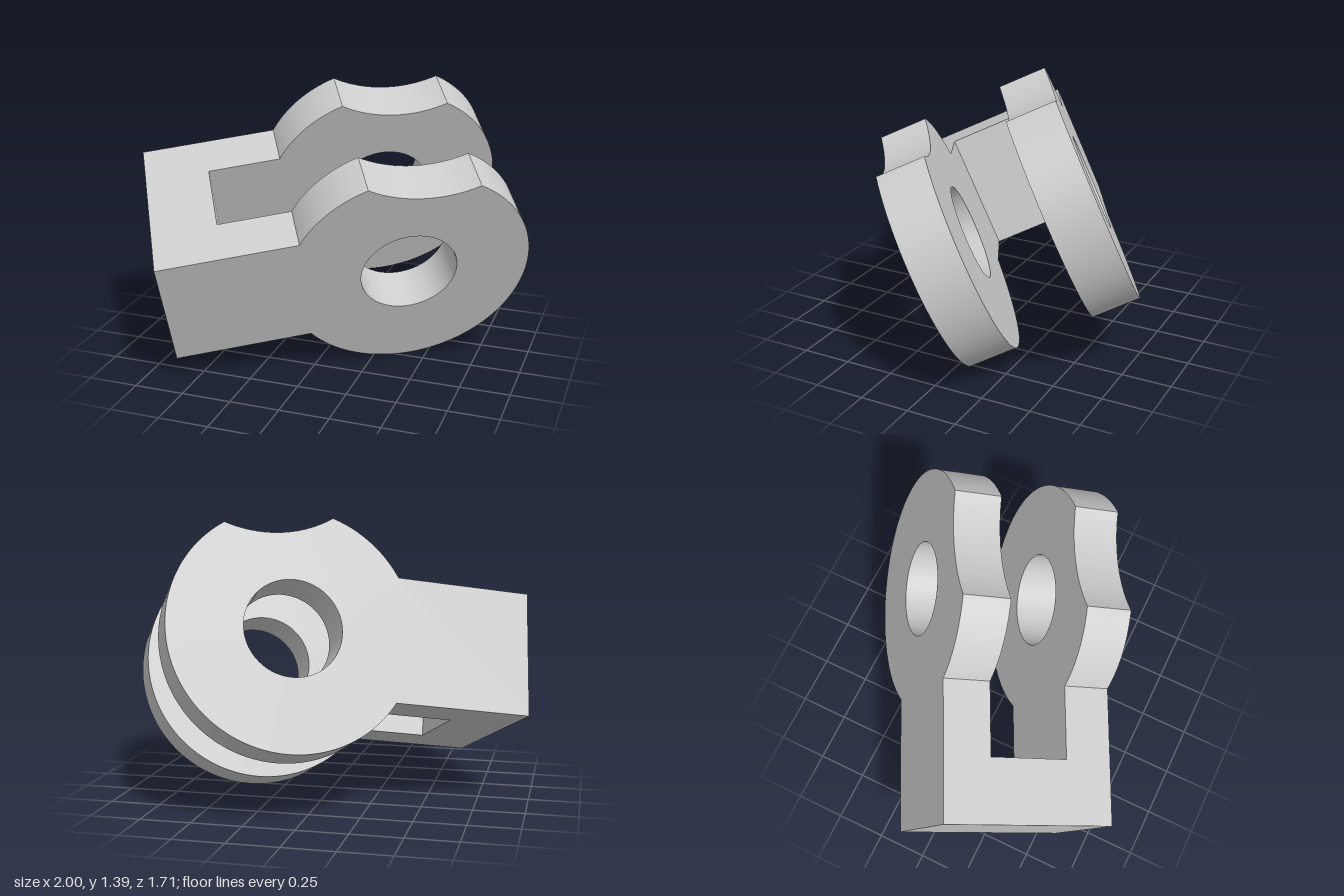
import * as THREE from 'three';
import { toCreasedNormals } from 'three/addons/utils/BufferGeometryUtils.js';

const RADIUS = 0.597;     // eye outer radius
const BORE = 0.237;       // pin hole radius
const HALF_HEIGHT = 0.311;
const BACK = -1.185;      // end of the shank, measured from the eye centre
const SLOT_END = -0.869;
const THICK = 0.237;      // thickness of each fork arm
const GAP = 0.394;        // slot width

// Side outline of one arm: shank, round eye, scooped notch on top, pin hole
function armShape() {
  const join = Math.PI - Math.asin(HALF_HEIGHT / RADIUS);
  const mid = 1.398, half = 0.463;
  const scoop = 2 * RADIUS * Math.cos(half);
  const shape = new THREE.Shape();
  shape.moveTo(BACK, HALF_HEIGHT);
  shape.lineTo(BACK, -HALF_HEIGHT);
  shape.absarc(0, 0, RADIUS, -join, mid - half, false);
  shape.absarc(scoop * Math.cos(mid), scoop * Math.sin(mid), RADIUS,
    mid + Math.PI + half, mid + Math.PI - half, true);
  shape.absarc(0, 0, RADIUS, mid + half, join, false);
  shape.closePath();
  const hole = new THREE.Path();
  hole.absarc(0, 0, BORE, 0, Math.PI * 2, true);
  shape.holes.push(hole);
  return shape;
}

export function createModel() {
  const group = new THREE.Group();
  group.name = 'clevis';
  const metal = new THREE.MeshStandardMaterial({ color: 0xcccccc });
  metal.name = 'grey metal';

  // Two matching arms
  const armGeometry = toCreasedNormals(
    new THREE.ExtrudeGeometry(armShape(), { depth: THICK, bevelEnabled: false, curveSegments: 48 }), 0.4);
  for (const [name, z] of [['leftArm', GAP / 2], ['rightArm', -GAP / 2 - THICK]]) {
    const arm = new THREE.Mesh(armGeometry, metal);
    arm.name = name;
    arm.position.z = z;
    group.add(arm);
  }

  // Solid bridge joining the arms at the back of the slot
  const bridge = new THREE.Mesh(
    new THREE.BoxGeometry(SLOT_END - BACK, HALF_HEIGHT * 2, GAP), metal);
  bridge.name = 'bridge';
  bridge.position.x = (SLOT_END + BACK) / 2;
  group.add(bridge);

  // Tilt of the whole fork
  const across = new THREE.Vector3(0.461, -0.392, 0.796).normalize();
  const up = across.clone().cross(new THREE.Vector3(0.884, 0.14, -0.443)).normalize();
  const along = up.clone().cross(across);
  group.quaternion.setFromRotationMatrix(new THREE.Matrix4().makeBasis(along, up, across));
  group.position.set(0.27, 0.719, -0.145);

  const model = new THREE.Group();
  model.name = 'model';
  model.add(group);
  return model;
}
